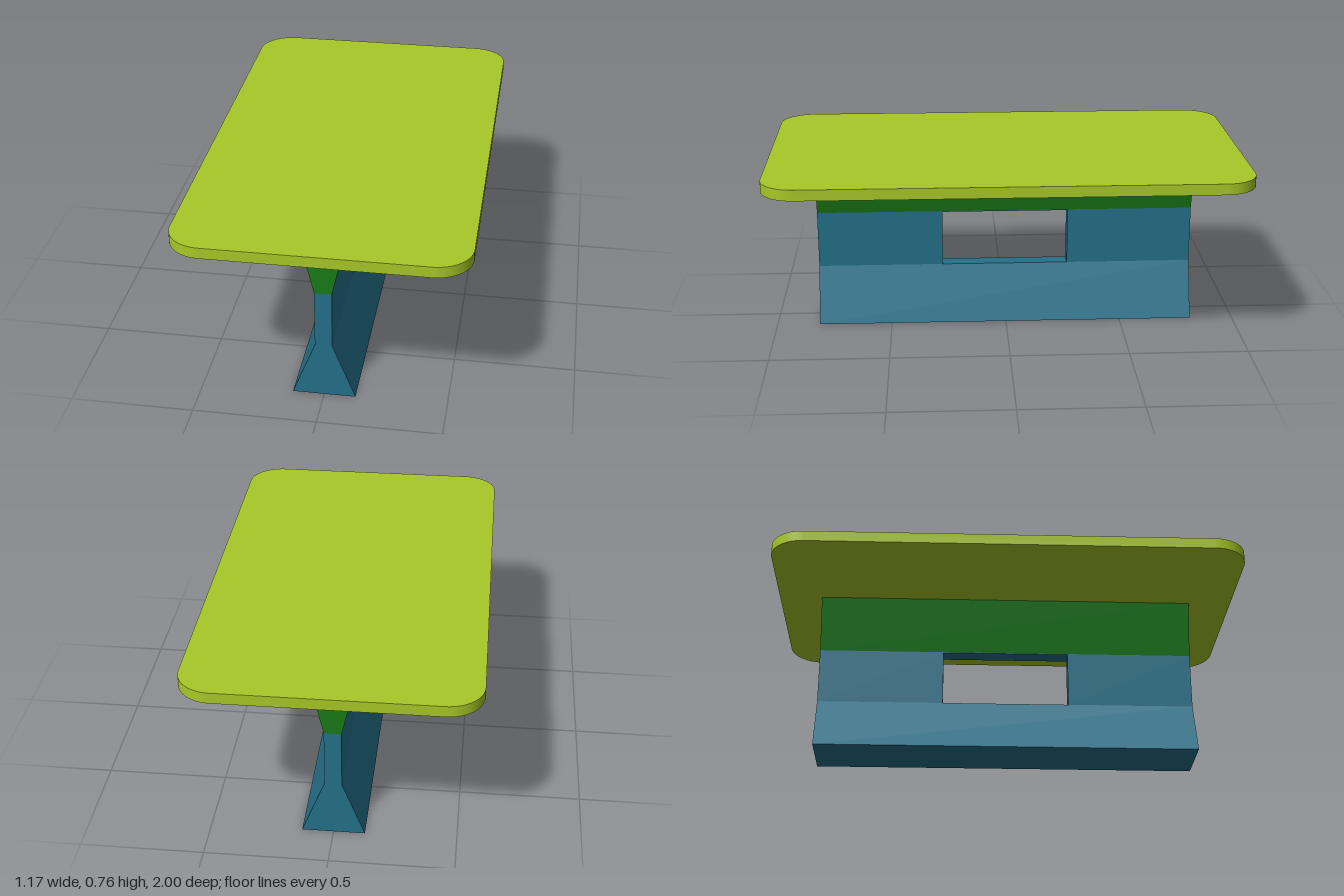
import * as THREE from 'three';
import { toCreasedNormals } from 'three/addons/utils/BufferGeometryUtils.js';

const HALF_LENGTH = 0.815; // pedestal half length along z
const WAIST = 0.035;       // half thickness of the upright wall
const FOOT_TOP = 0.238;
const WALL_TOP = 0.483;
const TOP_BOTTOM = 0.717;
const TOP_HEIGHT = 0.763;

const paint = (color) => new THREE.MeshStandardMaterial({ color });

function polygon(points) {
  return new THREE.Shape(points.map(([x, y]) => new THREE.Vector2(x, y)));
}

// Extrudes a shape and centres the result on its depth
function extrude(shape, depth, curveSegments = 1) {
  const geometry = new THREE.ExtrudeGeometry(shape, { depth, bevelEnabled: false, curveSegments });
  return geometry.translate(0, 0, -depth / 2);
}

// Symmetric trapezoid running along z
function trapezoidBar(y0, half0, y1, half1) {
  return extrude(polygon([[-half0, y0], [half0, y0], [half1, y1], [-half1, y1]]), HALF_LENGTH * 2);
}

function roundedRectangle(w, h, r) {
  const s = new THREE.Shape();
  s.absarc(w - r, h - r, r, 0, Math.PI / 2);
  s.absarc(r - w, h - r, r, Math.PI / 2, Math.PI);
  s.absarc(r - w, r - h, r, Math.PI, Math.PI * 1.5);
  s.absarc(w - r, r - h, r, Math.PI * 1.5, Math.PI * 2);
  s.closePath();
  return s;
}

export function createModel() {
  const group = new THREE.Group();
  const add = (name, geometry, material) => {
    const mesh = new THREE.Mesh(geometry, material);
    mesh.name = name;
    group.add(mesh);
  };
  const blue = paint(0x247089);

  // Rounded slab
  const slab = extrude(roundedRectangle(0.583, 1, 0.145), TOP_HEIGHT - TOP_BOTTOM, 12);
  slab.rotateX(-Math.PI / 2).translate(0, (TOP_HEIGHT + TOP_BOTTOM) / 2, 0);
  add('tabletop', toCreasedNormals(slab, 0.5), paint(0xa8c828));

  // Flared support under the slab
  add('upperSupport', trapezoidBar(WALL_TOP, WAIST, TOP_BOTTOM, 0.09), paint(0x187a18));

  // Upright wall with the rectangular opening, closed above by a thin strip
  const L = HALF_LENGTH, open = 0.273, lintel = WALL_TOP - 0.003;
  const wall = extrude(polygon([
    [-L, FOOT_TOP], [-open, FOOT_TOP], [-open, lintel], [open, lintel],
    [open, FOOT_TOP], [L, FOOT_TOP], [L, WALL_TOP], [-L, WALL_TOP],
  ]), WAIST * 2);
  add('uprightWall', wall.rotateY(Math.PI / 2), blue);

  // Flared foot
  add('foot', trapezoidBar(0, 0.128, FOOT_TOP, WAIST), blue);

  return group;
}
